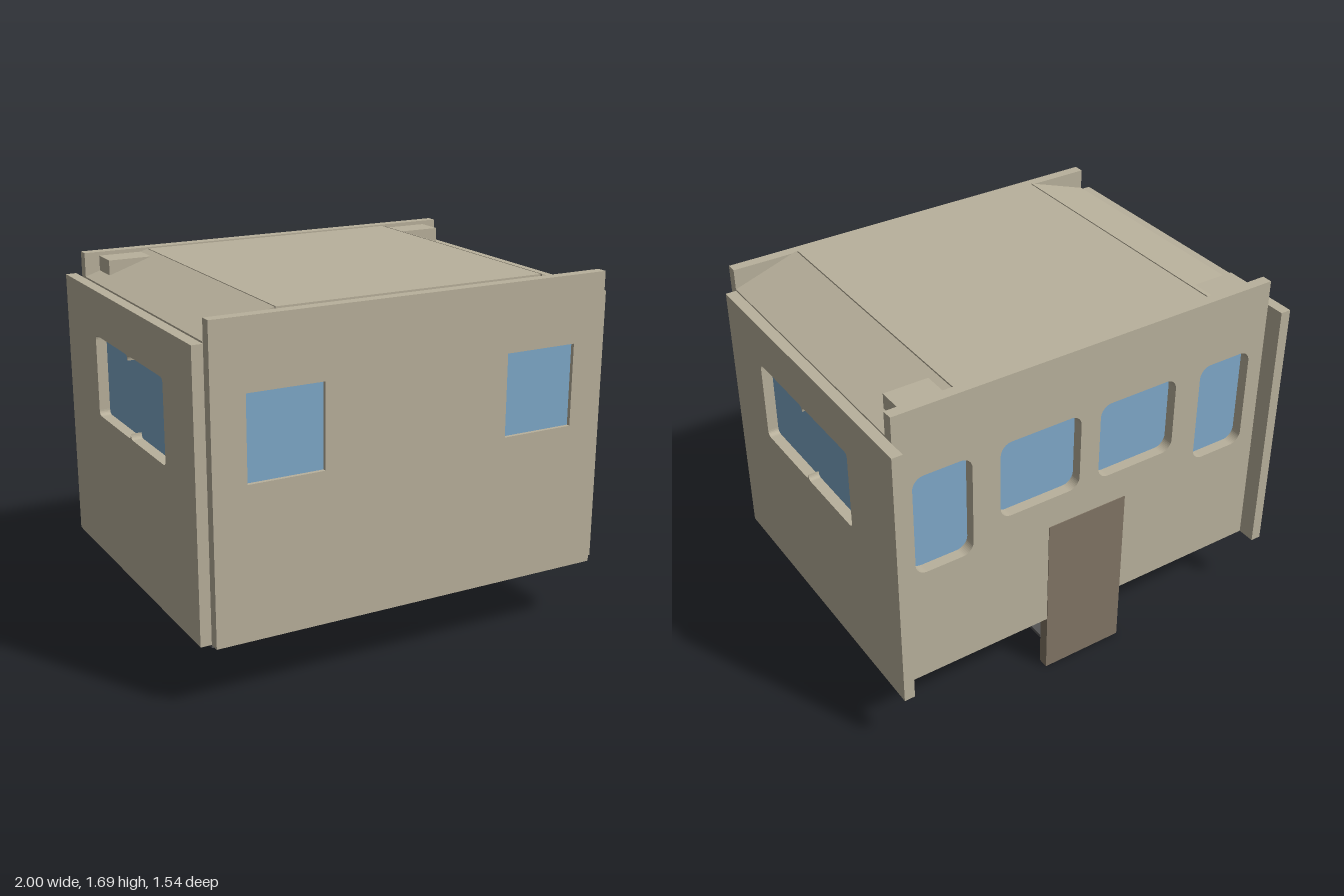
import * as THREE from 'three';

const mat = (name, color) => {
  const m = new THREE.MeshStandardMaterial({ color });
  m.name = name;
  return m;
};

// Outline of a rectangle with corner radius r (r = 0 gives sharp corners)
function rect(path, x0, x1, y0, y1, r = 0) {
  path.moveTo(x0 + r, y0);
  path.lineTo(x1 - r, y0);
  if (r) path.absarc(x1 - r, y0 + r, r, -Math.PI / 2, 0);
  path.lineTo(x1, y1 - r);
  if (r) path.absarc(x1 - r, y1 - r, r, 0, Math.PI / 2);
  path.lineTo(x0 + r, y1);
  if (r) path.absarc(x0 + r, y1 - r, r, Math.PI / 2, Math.PI);
  path.lineTo(x0, y0 + r);
  if (r) path.absarc(x0 + r, y0 + r, r, Math.PI, Math.PI * 1.5);
  return path;
}

// Two rounded panes merged into one opening, with a cusp at top and bottom
function doubleWindow(x0, x1, y0, y1) {
  const p = new THREE.Path(), r = 0.025, c = (x0 + x1) / 2, n = 0.02;
  p.moveTo(x0 + r, y0);
  p.lineTo(c - n, y0);
  p.quadraticCurveTo(c - 0.002, y0, c, y0 + r);
  p.quadraticCurveTo(c + 0.002, y0, c + n, y0);
  p.lineTo(x1 - r, y0);
  p.quadraticCurveTo(x1, y0, x1, y0 + r);
  p.lineTo(x1, y1 - r);
  p.quadraticCurveTo(x1, y1, x1 - r, y1);
  p.lineTo(c + n, y1);
  p.quadraticCurveTo(c + 0.002, y1, c, y1 - r);
  p.quadraticCurveTo(c - 0.002, y1, c - n, y1);
  p.lineTo(x0 + r, y1);
  p.quadraticCurveTo(x0, y1, x0, y1 - r);
  p.lineTo(x0, y0 + r);
  p.quadraticCurveTo(x0, y0, x0 + r, y0);
  return p;
}

const extrude = (shape, depth) =>
  new THREE.ExtrudeGeometry(shape, { depth, bevelEnabled: false, curveSegments: 6 });

const polygon = pts => new THREE.Shape(pts.map(p => new THREE.Vector2(p[0], p[1])));

export function createModel() {
  const g = new THREE.Group();
  g.name = 'cabin';
  const beige = mat('beige panel', 0xb9b19c);
  const blue = mat('blue glass', 0x7fa9c9);
  const brown = mat('brown door', 0x807464);
  const dark = mat('dark floor', 0x555555);

  const add = (name, geo, m, x = 0, y = 0, z = 0) => {
    const mesh = new THREE.Mesh(geo, m);
    mesh.name = name;
    mesh.position.set(x, y, z);
    g.add(mesh);
    return mesh;
  };
  const box = (name, m, x0, x1, y0, y1, z0, z1) =>
    add(name, new THREE.BoxGeometry(x1 - x0, y1 - y0, z1 - z0), m,
      (x0 + x1) / 2, (y0 + y1) / 2, (z0 + z1) / 2);

  // Front wall with two square windows
  const front = rect(new THREE.Shape(), -0.95, 0.95, 0.295, 1.675);
  for (const x of [-0.797, 0.445]) {
    front.holes.push(rect(new THREE.Path(), x, x + 0.352, 0.985, 1.365));
    box('frontGlass', blue, x, x + 0.352, 0.985, 1.365, 0.742, 0.75);
  }
  add('frontWall', extrude(front, 0.05), beige, 0, 0, 0.718);

  // Back wall with four rounded windows, the outer pair taller
  const back = rect(new THREE.Shape(), -0.95, 0.95, 0.295, 1.69);
  for (const [x0, x1, y0] of [[-0.87, -0.59, 0.87], [-0.455, -0.05, 0.985],
    [0.05, 0.455, 0.985], [0.59, 0.87, 0.87]]) {
    back.holes.push(rect(new THREE.Path(), x0, x1, y0, 1.365, 0.055));
    box('backGlass', blue, x0 - 0.01, x1 + 0.01, y0 - 0.01, 1.375, -0.631, -0.624);
  }
  add('backWall', extrude(back, 0.05), beige, 0, 0, -0.681);

  // Side walls, each with a double window
  const side = rect(new THREE.Shape(), -0.718, 0.768, 0.295, 1.572);
  side.holes.push(doubleWindow(-0.408, 0.388, 0.985, 1.365));
  const sideGeo = extrude(side, 0.05).rotateY(Math.PI / 2);
  for (const s of [1, -1]) {
    add(s > 0 ? 'leftWall' : 'rightWall', sideGeo, beige, s > 0 ? 0.95 : -1);
    add('sideGlass', new THREE.BoxGeometry(0.008, 0.4, 0.82), blue, s * 0.946, 1.175, 0.01);
  }

  // Roof: flat centre panel, sloped edge panels and small corner wedges
  box('roofCentre', beige, -0.637, 0.637, 1.635, 1.683, -0.631, 0.716);
  for (const s of [1, -1]) {
    const order = pts => polygon(pts.map(([x, y]) => [s * x, y]));
    add('roofSlope', extrude(order([[0.643, 1.683], [0.95, 1.58], [0.95, 1.535], [0.643, 1.635]]),
      1.347), beige, 0, 0, -0.631);
    add('roofWedge', extrude(order([[0.675, 1.672], [0.88, 1.672], [0.88, 1.6]]),
      0.131), beige, 0, 0, -0.631);
  }
  // Dark-free seam backing below the panel gaps
  for (const s of [1, -1]) box('roofSeam', beige, s * 0.64 - 0.012, s * 0.64 + 0.012, 1.62, 1.66, -0.631, 0.716);

  // Floor with a stairwell notch at the back
  const floor = polygon([[-0.95, -0.718], [0.95, -0.718], [0.95, 0.631], [0.205, 0.631],
    [0.205, 0.385], [-0.205, 0.385], [-0.205, 0.631], [-0.95, 0.631]]);
  add('floor', extrude(floor, 0.016).rotateX(-Math.PI / 2), dark, 0, 0.28, 0);

  // Entry door reaching to the ground, and its step
  box('door', brown, -0.205, 0.205, 0, 0.83, -0.684, -0.633);
  box('step', dark, -0.205, 0.205, 0.142, 0.157, -0.631, -0.388);
  return g;
}
